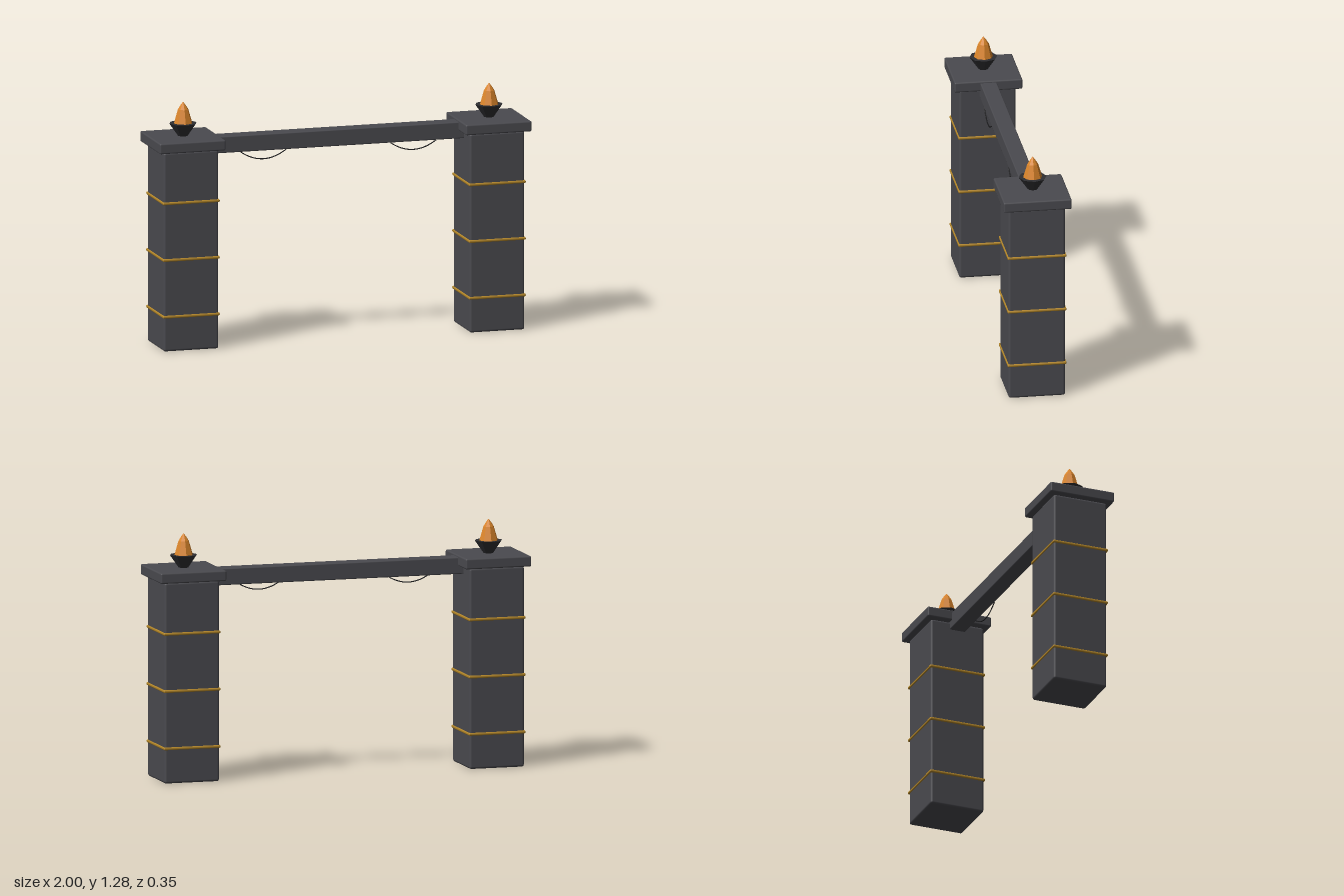
import * as THREE from 'three';
import { RoundedBoxGeometry } from 'three/addons/geometries/RoundedBoxGeometry.js';

function material(name, color, extra = {}) {
  const m = new THREE.MeshStandardMaterial({ color, ...extra });
  m.name = name;
  return m;
}

function part(name, geometry, mat, x, y, z) {
  const mesh = new THREE.Mesh(geometry, mat);
  mesh.name = name;
  mesh.position.set(x, y, z);
  return mesh;
}

export function createModel() {
  const stone = material('dark stone', 0x4a4a4f);
  const gold = material('gold band', 0xb08428);
  const iron = material('black iron', 0x2f2f32, { flatShading: true });
  const fire = material('orange flame', 0xd9842a, { flatShading: true });
  const cord = material('black cord', 0x1c1c1e);

  // Shared shapes
  const shaft = new RoundedBoxGeometry(0.295, 1.045, 0.295, 2, 0.012);
  const cap = new RoundedBoxGeometry(0.354, 0.055, 0.354, 2, 0.008);
  const band = new RoundedBoxGeometry(0.306, 0.015, 0.306, 2, 0.006);
  const bowl = new THREE.CylinderGeometry(0.073, 0.025, 0.068, 8);
  const flame = new THREE.LatheGeometry([
    [0, 1.15], [0.052, 1.155], [0.049, 1.168], [0.028, 1.238], [0.015, 1.258], [0, 1.278],
  ].map(([r, y]) => new THREE.Vector2(r, y)), 8);

  const model = new THREE.Group();
  model.name = 'gateway';

  for (const side of [-1, 1]) {
    // Pillar with cap, bands and fire bowl
    const pillar = new THREE.Group();
    pillar.name = side > 0 ? 'leftPillar' : 'rightPillar';
    pillar.position.x = side * 0.823;
    pillar.add(part('shaft', shaft, stone, 0, 0.5225, 0));
    pillar.add(part('cap', cap, stone, 0, 1.0725, 0));
    for (const y of [0.182, 0.48, 0.778]) pillar.add(part('band', band, gold, 0, y, 0));
    pillar.add(part('fireBowl', bowl, iron, 0, 1.132, 0));
    pillar.add(part('flame', flame, fire, 0, 0, 0));
    model.add(pillar);

    // Cord sagging under the front edge of the beam
    const curve = new THREE.QuadraticBezierCurve3(
      new THREE.Vector3(-0.123, 1.004, 0),
      new THREE.Vector3(0, 0.917, 0),
      new THREE.Vector3(0.123, 1.004, 0),
    );
    const tube = new THREE.TubeGeometry(curve, 16, 0.003, 6);
    model.add(part('hangingCord', tube, cord, side * 0.403, 0, 0.041));
  }

  // Beam joining the pillars
  model.add(part('beam', new RoundedBoxGeometry(1.4, 0.087, 0.086, 2, 0.006), stone, 0, 1.0465, 0));
  return model;
}
